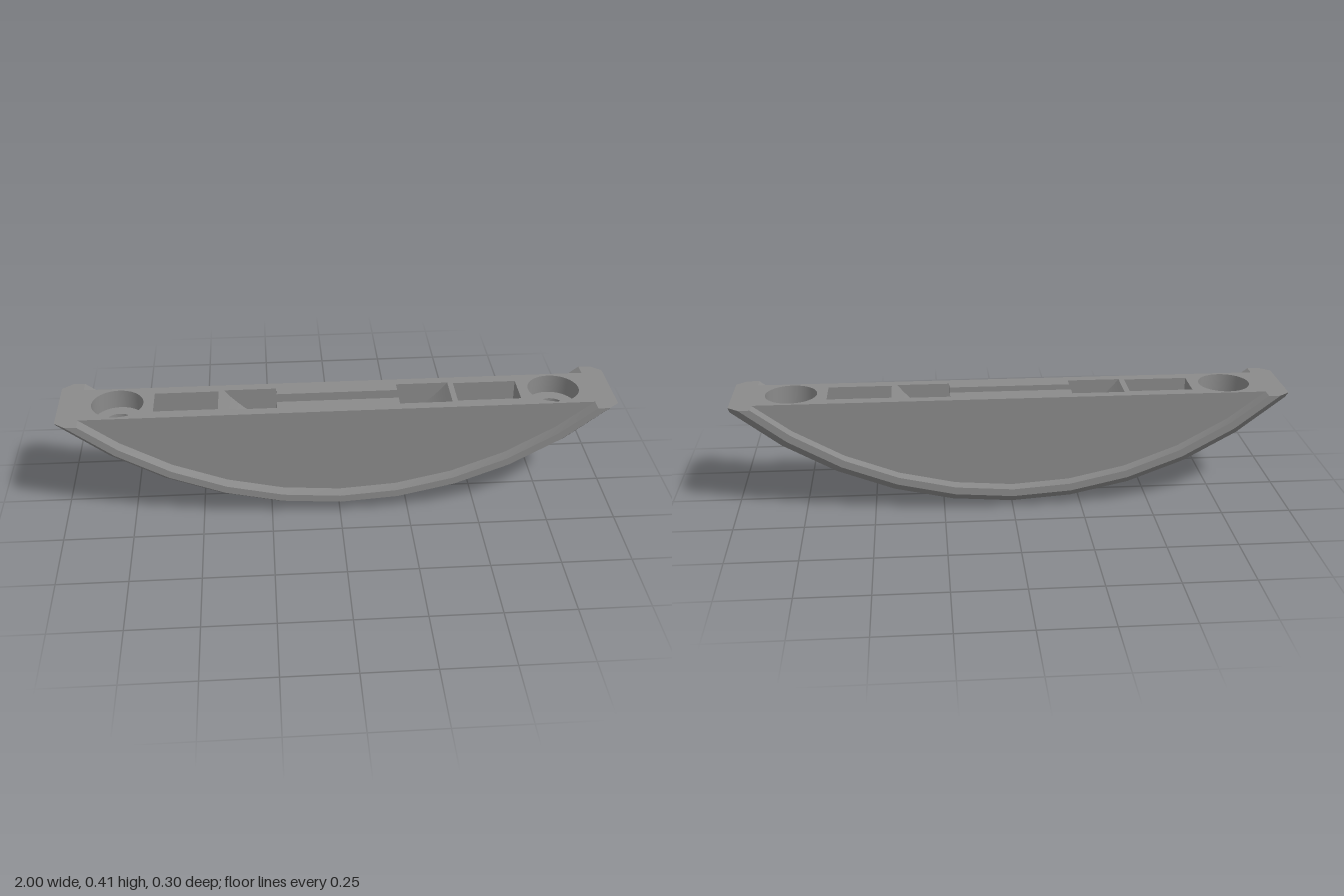
import * as THREE from 'three';
import { mergeGeometries, toCreasedNormals } from 'three/addons/utils/BufferGeometryUtils.js';

const material = new THREE.MeshStandardMaterial({ color: 0x8a8a8a, side: THREE.DoubleSide });

const TOP = 0.41;                    // height of the flat top
const CENTRE = 1.506;                // height of the bow's centre of curvature
const R_KEEL = 1.506, R_EDGE = 1.458, R_RIM = 1.431;
const Z_KEEL = 0.085, Z_EDGE = 0.152, Z_CORE = 0.105, Z_TIP = 0.12;
const HOLE_X = 0.79, BORE = 0.046, COUNTERBORE = 0.093, SEAT_Y = 0.34;

const range = (a, b, n) => Array.from({ length: n + 1 }, (_, i) => a + (b - a) * i / n);

// Facet corners of the bow at equal angles
const half = range(0, Math.asin(1 / R_KEEL), 5).map((t) => R_KEEL * Math.sin(t));
const stations = [...half.slice(1).reverse().map((x) => -x), ...half];
const LAST = stations.length - 1;

// One faceted arc of the bow as [x, y] points; inner arcs end at the flat top
function arc(radius) {
  return stations.map((s, i) => {
    let x = s * radius / R_KEEL;
    if ((i === 0 || i === LAST) && radius !== R_KEEL) {
      x = Math.sign(s) * Math.sqrt(radius ** 2 - (CENTRE - TOP) ** 2);
    }
    return [x, CENTRE - Math.sqrt(radius ** 2 - x * x)];
  });
}
const keelArc = arc(R_KEEL), edgeArc = arc(R_EDGE), rimArc = arc(R_RIM);
const atZ = (points, z) => points.map(([x, y]) => [x, y, z]);

function keelY(x) {
  let i = 0;
  while (i < keelArc.length - 2 && x > keelArc[i + 1][0]) i++;
  const [x0, y0] = keelArc[i], [x1, y1] = keelArc[i + 1];
  return y0 + (y1 - y0) * (x - x0) / (x1 - x0);
}

function triangles(list) {
  const g = new THREE.BufferGeometry();
  g.setAttribute('position', new THREE.Float32BufferAttribute(list.flat(), 3));
  return g;
}

// Quads between two rows of points
function strip(a, b) {
  const out = [];
  for (let i = 0; i < a.length - 1; i++) {
    out.push(a[i], a[i + 1], b[i + 1], a[i], b[i + 1], b[i]);
  }
  return triangles(out);
}

// Horizontal sheet from an outline in x and z, height given by a rule
function sheet(outline, holes, height, up) {
  const v = (list) => list.map(([x, z]) => new THREE.Vector2(x, z));
  const shape = new THREE.Shape(v(outline));
  shape.holes = holes.map((h) => new THREE.Path(v(h)));
  const g = new THREE.ShapeGeometry(shape).toNonIndexed();
  const p = g.attributes.position;
  for (let i = 0; i < p.count; i++) {
    const x = p.getX(i), z = p.getY(i);
    p.setXYZ(i, x, height(x), up ? -z : z);
  }
  g.deleteAttribute('uv');
  g.deleteAttribute('normal');
  return g;
}

// Inward-facing wall around a closed outline
function wall(outline, top, bottom) {
  const loop = [...outline, outline[0]];
  return strip(loop.map(([x, z]) => [x, bottom(x), z]), loop.map(([x, z]) => [x, top, z]));
}

const circle = (cx, r, n = 40) => range(0, Math.PI * 2, n).slice(0, n)
  .map((t) => [cx + r * Math.cos(t), r * Math.sin(t)]);
const rectangle = (x0, x1, w) => [[x0, -w], [x1, -w], [x1, w], [x0, w]];

// Curved floor of the middle slot
const SLOT = 0.41, NECK = 0.22, DEPTH = 0.2;
const slotR = (SLOT ** 2 + DEPTH ** 2) / (2 * DEPTH);
const slotY = (x) => TOP - DEPTH + slotR - Math.sqrt(slotR ** 2 - x * x);

export function createModel() {
  const group = new THREE.Group();
  const add = (name, ...parts) => {
    const mesh = new THREE.Mesh(toCreasedNormals(mergeGeometries(parts), 0.4), material);
    mesh.name = name;
    group.add(mesh);
  };

  // Underside, flat facets notched where a facet corner crosses a screw hole
  const facets = [];
  const split = half[4];
  const cut = Math.acos((split - HOLE_X) / BORE);
  const notch = (from, to) => range(from, to, 30)
    .map((t) => [HOLE_X + BORE * Math.cos(t), BORE * Math.sin(t)]);
  for (let i = 0; i < half.length - 1; i++) {
    const a = half[i], b = half[i + 1];
    const outline = [[a, -Z_KEEL], [b, -Z_KEEL]];
    if (b === split) outline.push(...notch(-cut, cut - 2 * Math.PI));
    outline.push([b, Z_KEEL], [a, Z_KEEL]);
    if (a === split) outline.push(...notch(cut, -cut));
    for (const e of [1, -1]) {
      facets.push(sheet(outline.map(([x, z]) => [e * x, z]), [], keelY, false));
    }
  }
  add('underside', ...facets);

  // Chamfer, rim and recessed side face, mirrored front and back
  for (const s of [1, -1]) {
    const side = s > 0 ? 'front' : 'back';
    const band = (a, b) => (s > 0 ? strip(a, b) : strip(b, a));
    const keel = atZ(keelArc, s * Z_KEEL), edge = atZ(edgeArc, s * Z_EDGE);
    const rim = atZ(rimArc, s * Z_EDGE), root = atZ(rimArc, s * Z_CORE);
    const corners = [1, -1].map((e) => {
      const k = e > 0 ? LAST : 0;
      const tip = [e, TOP, s * Z_TIP];
      return triangles(s * e > 0 ? [keel[k], tip, edge[k]] : [keel[k], edge[k], tip]);
    });
    add(side + 'Chamfer', band(keel, edge), ...corners);
    add(side + 'Rim', band(edge, rim), band(rim, root));

    const face = new THREE.ShapeGeometry(new THREE.Shape(rimArc.map(([x, y]) => new THREE.Vector2(x, y))));
    face.translate(0, 0, Z_CORE);
    if (s < 0) face.rotateY(Math.PI);
    add(side + 'SideFace', face.toNonIndexed());
  }

  // Small upright faces at both tips
  for (const e of [1, -1]) {
    const y = keelArc[0][1];
    const low = [[e, y, e * Z_KEEL], [e, y, -e * Z_KEEL]];
    const high = [[e, TOP, e * Z_TIP], [e, TOP, -e * Z_TIP]];
    add(e > 0 ? 'leftTip' : 'rightTip', strip(low, high));
  }

  // Flat top with all of its openings
  const xEdge = edgeArc[LAST][0], xRim = rimArc[LAST][0];
  const quarter = [[1, Z_TIP], [xEdge, Z_EDGE], [xRim, Z_EDGE], [xRim, Z_CORE]];
  const back = [...quarter].reverse();
  const topOutline = [
    ...quarter, ...back.map(([x, z]) => [-x, z]),
    ...quarter.map(([x, z]) => [-x, -z]), ...back.map(([x, z]) => [x, -z]),
  ];
  const wide = 0.068, narrow = 0.027;
  const slotSide = [
    ...range(-SLOT, -NECK, 8).map((x) => [x, -wide]),
    ...range(-NECK, NECK, 16).map((x) => [x, -narrow]),
    ...range(NECK, SLOT, 8).map((x) => [x, -wide]),
  ];
  const slot = [...slotSide, ...slotSide.map(([x, z]) => [-x, -z])];
  const pockets = [rectangle(0.43, 0.66, 0.062), rectangle(-0.66, -0.43, 0.062)];
  const cups = [circle(HOLE_X, COUNTERBORE), circle(-HOLE_X, COUNTERBORE)];
  add('top', sheet(topOutline, [slot, ...pockets, ...cups], () => TOP, true));

  // Middle slot: walls and curved floor
  const floorRow = (sign) => slotSide.map(([x, z]) => [x, slotY(x), sign * Math.abs(z)]);
  add('middleSlot', wall(slot, TOP, slotY), strip(floorRow(1), floorRow(-1)));

  // Square pockets and screw holes at each end
  [1, -1].forEach((e, i) => {
    const side = e > 0 ? 'left' : 'right';
    const floor = 0.25;
    add(side + 'Pocket', wall(pockets[i], TOP, () => floor), sheet(pockets[i], [], () => floor, true));
    const bore = circle(e * HOLE_X, BORE);
    add(side + 'ScrewHole',
      wall(cups[i], TOP, () => SEAT_Y),
      sheet(cups[i], [bore], () => SEAT_Y, true),
      wall(bore, SEAT_Y, keelY));
  });
  return group;
}
